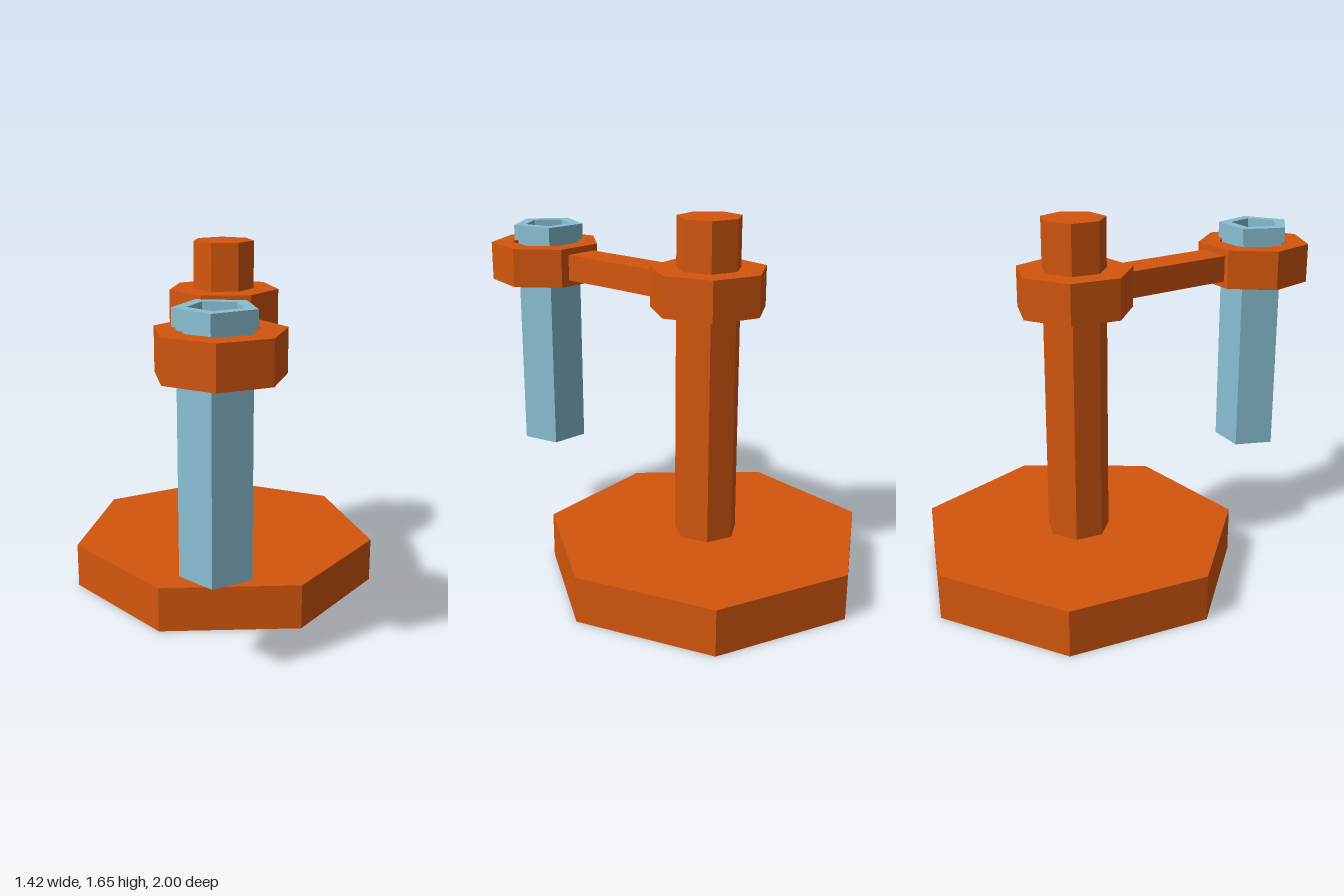
import * as THREE from 'three';

const deg = Math.PI / 180;

// Faceted prism turned from a [radius, y] profile listed bottom centre, outside, top, inside
function turned(name, profile, sides, turn, material, x, z) {
  const points = profile.map(([r, y]) => new THREE.Vector2(r, y));
  const geometry = new THREE.LatheGeometry(points, sides, turn * deg).toNonIndexed();
  geometry.computeVertexNormals();
  const mesh = new THREE.Mesh(geometry, material);
  mesh.name = name;
  mesh.position.set(x, 0, z);
  return mesh;
}

const solid = (r, y0, y1) => [[0, y0], [r, y0], [r, y1], [0, y1]];
const ring = (inner, r, y0, y1) => [[inner, y0], [r, y0], [r, y1], [inner, y1], [inner, y0]];

export function createModel() {
  const orange = new THREE.MeshStandardMaterial({ color: 0xd4560d });
  orange.name = 'orange';
  const blue = new THREE.MeshStandardMaterial({ color: 0x8abfd2 });
  blue.name = 'pale blue';

  const model = new THREE.Group();
  model.name = 'tubeStand';

  // Stand: heavy base, upright post and its clamp collar, all seven-sided
  const post = { x: -0.017, z: -0.27, turn: 185.7 };
  const stand = (name, r, y0, y1) =>
    turned(name, solid(r, y0, y1), 7, post.turn, orange, post.x, post.z);
  model.add(
    stand('base', 0.733, 0, 0.21),
    stand('post', 0.143, 0.2, 1.65),
    stand('postCollar', 0.259, 1.25, 1.43)
  );

  // Holder ring, open through the middle
  const hold = { x: 0.024, z: 0.737 };
  model.add(turned('holderRing', ring(0.162, 0.263, 1.25, 1.43), 7, 0, orange, hold.x, hold.z));

  // Arm running from collar to ring
  const z0 = -0.1, z1 = 0.52;
  const slope = (hold.x - post.x) / (hold.z - post.z);
  const arm = new THREE.Mesh(new THREE.BoxGeometry(0.16, 0.12, z1 - z0), orange);
  arm.name = 'arm';
  const zMid = (z0 + z1) / 2;
  arm.position.set(post.x + slope * (zMid - post.z), 1.34, zMid);
  arm.rotation.y = Math.atan(slope);
  model.add(arm);

  // Five-sided hollow tube, closed at the bottom, with a wider rim
  const bore = 0.113;
  const tubeProfile = [
    [0, 0.435], [0.154, 0.435], [0.154, 1.445], [0.171, 1.445],
    [0.171, 1.517], [bore, 1.517], [bore, 0.475], [0, 0.475]
  ];
  model.add(turned('tube', tubeProfile, 5, -3.8, blue, 0.011, 0.735));

  return model;
}
